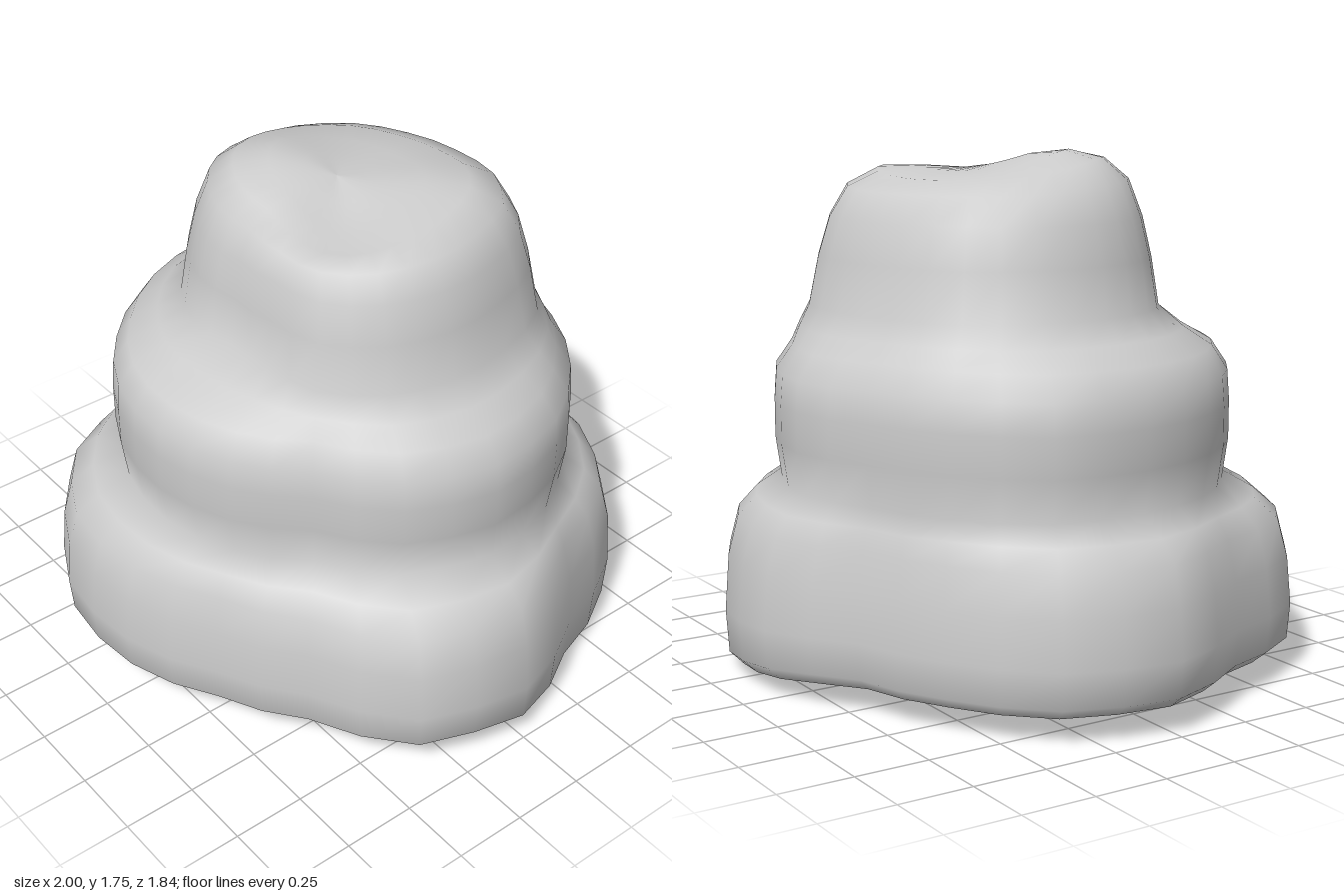
import * as THREE from 'three';

const SIDES = 32;

// Outline radii every 22.5 degrees, from +x turning towards +z
const outlines = [
  [1.0, 0.98, 0.83, 0.82, 0.9, 0.97, 0.98, 0.91, 1.0, 0.98, 0.87, 0.81, 0.92, 0.96, 0.97, 0.91],
  [0.81, 0.76, 0.67, 0.7, 0.73, 0.75, 0.76, 0.79, 0.82, 0.85, 0.79, 0.75, 0.79, 0.78, 0.79, 0.81],
  [0.59, 0.57, 0.53, 0.45, 0.43, 0.48, 0.52, 0.56, 0.59, 0.62, 0.63, 0.62, 0.63, 0.66, 0.66, 0.61],
];

// Rings from base to crown: height, outline (0 lower, 1 middle, 2 upper tier), scale
const levels = [
  [0, 0, 0.94], [0.05, 0, 0.99], [0.2, 0, 1], [0.4, 0, 0.985], [0.53, 0, 0.95],
  [0.6, 0.45, 0.965], [0.66, 1, 0.975], [0.8, 1, 1], [0.93, 1, 1], [1.03, 1, 0.99],
  [1.11, 1, 0.92], [1.17, 1.6, 0.98], [1.24, 2, 1], [1.4, 2, 0.95], [1.53, 2, 0.89],
  [1.62, 2, 0.8], [1.66, 2, 0.64], [1.67, 2, 0.42], [1.675, 2, 0.2], [1.675, 2, 0],
];

// Radius at an angle, blending neighbouring outlines
function outlineRadius(angle, tier) {
  const k = Math.min(Math.floor(tier), 1);
  const f = (angle / (Math.PI * 2)) * 16;
  const i = Math.floor(f);
  const [lower, upper] = [outlines[k], outlines[k + 1]].map((list) =>
    THREE.MathUtils.lerp(list[i % 16], list[(i + 1) % 16], f - i));
  return THREE.MathUtils.lerp(lower, upper, tier - k);
}

function bump(x, z, cx, cz, width) {
  return Math.exp(-((x - cx) ** 2 + (z - cz) ** 2) / (width * width));
}

// Height of the foot: level, but dropping towards the back left corner
function footHeight(x, z) {
  return 0.08 * (1 - THREE.MathUtils.smoothstep(x, -0.25, 0.55)
    * THREE.MathUtils.smoothstep(-z, -0.3, 0.45));
}

function rockPoint([y, tier, scale], j) {
  const angle = (j / SIDES) * Math.PI * 2;
  const r = scale * outlineRadius(angle, tier);
  const x = r * Math.cos(angle);
  const z = r * Math.sin(angle);
  const foot = Math.max(0, 1 - y / 0.4) * footHeight(x, z);
  // Two knolls and a hollow on the crown
  const crown = THREE.MathUtils.smoothstep(y, 1.5, 1.67)
    * (0.08 * bump(x, z, -0.2, 0.12, 0.25) + 0.03 * bump(x, z, 0.25, -0.3, 0.18)
      - 0.06 * bump(x, z, 0.2, 0.15, 0.17));
  return [x, y + foot + crown, z];
}

function makeMesh(name, positions, index, material) {
  const geometry = new THREE.BufferGeometry();
  geometry.setAttribute('position', new THREE.Float32BufferAttribute(positions, 3));
  geometry.setIndex(index);
  geometry.computeVertexNormals();
  const mesh = new THREE.Mesh(geometry, material);
  mesh.name = name;
  return mesh;
}

export function createModel() {
  const group = new THREE.Group();
  group.name = 'tieredRock';
  const stone = new THREE.MeshStandardMaterial({ color: 0xcccccc });
  stone.name = 'grey stone';

  // Rock body: rings joined into a smooth skin
  const positions = [];
  const index = [];
  levels.forEach((level, i) => {
    for (let j = 0; j < SIDES; j++) {
      positions.push(...rockPoint(level, j));
      if (i === levels.length - 1) continue;
      const a = i * SIDES + j;
      const b = i * SIDES + ((j + 1) % SIDES);
      index.push(a, a + SIDES, b);
      if (i < levels.length - 2) index.push(b, a + SIDES, b + SIDES);
    }
  });
  group.add(makeMesh('rockBody', positions, index, stone));

  // Underside: a fan facing down
  const basePositions = [0, footHeight(0, 0), 0];
  const baseIndex = [];
  for (let j = 0; j < SIDES; j++) {
    basePositions.push(...rockPoint(levels[0], j));
    baseIndex.push(0, 1 + j, 1 + ((j + 1) % SIDES));
  }
  group.add(makeMesh('underside', basePositions, baseIndex, stone));

  return group;
}
